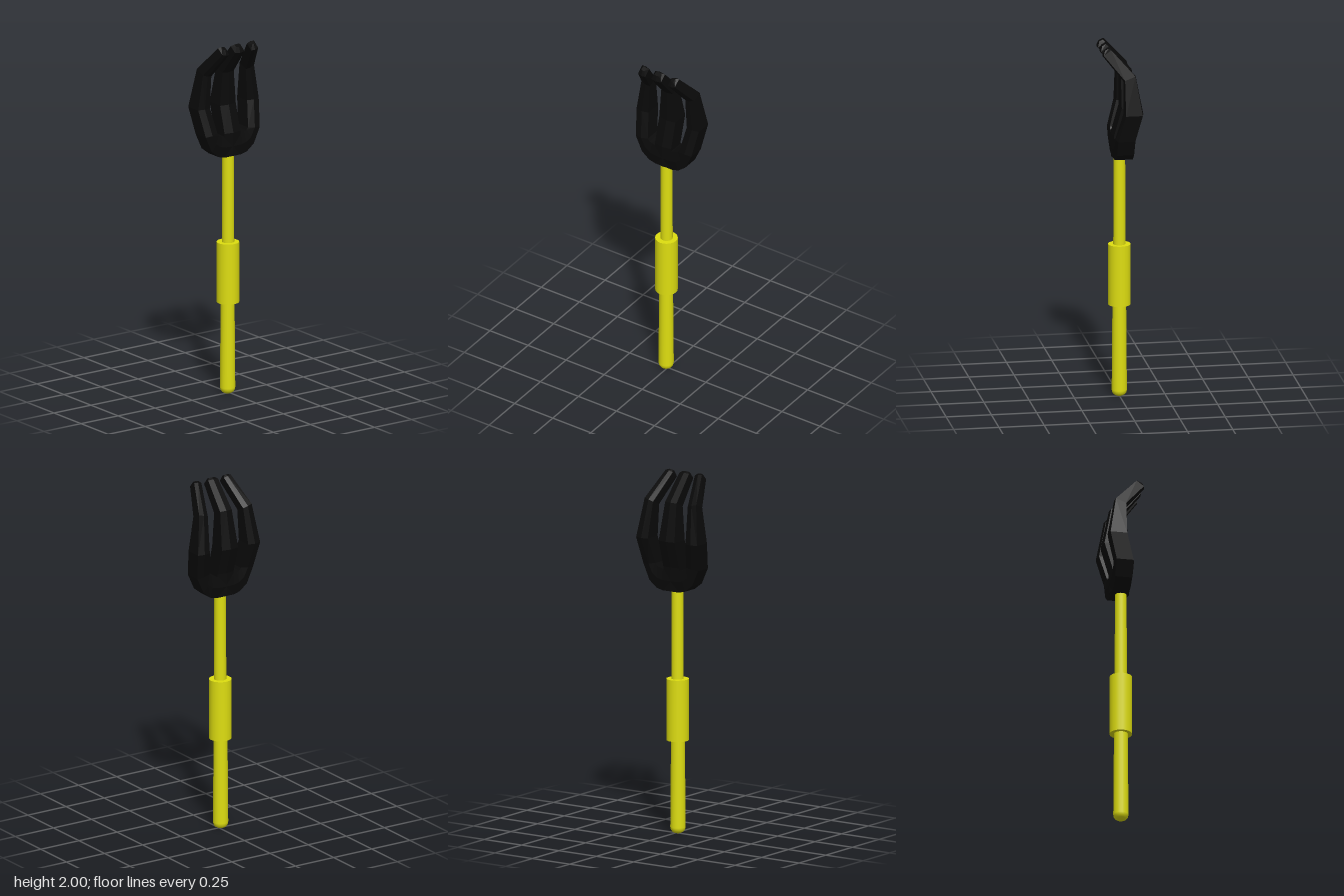
import * as THREE from 'three';

// Sections: [outerX, outerY, innerX, innerY, centreZ, halfDepth, tilt]
const sideTine = [
  [0.000, 1.355, 0.000, 1.472, -0.010, 0.056, 0],
  [0.055, 1.355, 0.055, 1.475, -0.010, 0.056, 0],
  [0.095, 1.365, 0.075, 1.480, -0.010, 0.056, 0],
  [0.142, 1.402, 0.092, 1.487, -0.010, 0.056, 0],
  [0.182, 1.490, 0.103, 1.500, -0.010, 0.056, 0],
  [0.204, 1.640, 0.126, 1.640, -0.049, 0.055, 0],
  [0.172, 1.845, 0.116, 1.830, -0.031, 0.034, 0.4],
  [0.121, 1.982, 0.074, 1.974, 0.086, 0.024, 0.75],
  [0.106, 1.997, 0.086, 1.995, 0.088, 0.012, 0.5],
];
const middleTine = [
  [0.053, 1.360, -0.053, 1.360, -0.010, 0.056, 0],
  [0.053, 1.490, -0.053, 1.490, -0.009, 0.056, 0],
  [0.053, 1.640, -0.053, 1.640, -0.052, 0.057, 0],
  [0.038, 1.838, -0.038, 1.838, -0.031, 0.035, 0.4],
  [0.032, 1.978, -0.032, 1.978, 0.086, 0.024, 0.75],
  [0.017, 1.997, -0.017, 1.997, 0.088, 0.012, 0.5],
];

// Skin six-sided sections into a tine; sign -1 mirrors it
function tineGeometry(sections, sign = 1) {
  const pos = [], index = [];
  for (const [ox, oy, ix, iy, z, d, tilt] of sections) {
    const ring = [[0, 0.84], [0.5, 1], [1, 0.84], [1, -0.84], [0.5, -1], [0, -0.84]];
    for (const [t, k] of ring) {
      pos.push(sign * (ox + (ix - ox) * t), oy + (iy - oy) * t - k * d * tilt, z + k * d);
    }
  }
  const tri = (a, b, c) => (sign > 0 ? index.push(a, b, c) : index.push(a, c, b));
  for (let i = 0; i < sections.length - 1; i++) {
    for (let j = 0; j < 6; j++) {
      const a = i * 6 + j, b = i * 6 + (j + 1) % 6;
      tri(a, a + 6, b);
      tri(b, a + 6, b + 6);
    }
  }
  const end = (sections.length - 1) * 6;
  for (let j = 1; j < 5; j++) {
    tri(end, end + j + 1, end + j);
    tri(0, j, j + 1);
  }
  const g = new THREE.BufferGeometry();
  g.setAttribute('position', new THREE.Float32BufferAttribute(pos, 3));
  g.setIndex(index);
  g.computeVertexNormals();
  return g;
}

export function createModel() {
  const model = new THREE.Group();
  model.name = 'gardenFork';
  const yellow = new THREE.MeshStandardMaterial({ color: 0xdede10 });
  yellow.name = 'yellow';
  const black = new THREE.MeshStandardMaterial({ color: 0x0a0a0a, flatShading: true });
  black.name = 'black';

  const add = (name, geometry, material, x, y = 0) => {
    const mesh = new THREE.Mesh(geometry, material);
    mesh.name = name;
    mesh.position.set(x, y, 0);
    model.add(mesh);
  };

  // Lower handle with a rounded foot
  const foot = [[0, 0], [0.018, 0.002], [0.031, 0.009], [0.039, 0.02], [0.042, 0.035], [0.038, 0.53]];
  add('lowerHandle', new THREE.LatheGeometry(foot.map(p => new THREE.Vector2(...p)), 20), yellow, -0.011);

  // Grip sleeve and upper shaft
  add('gripSleeve', new THREE.CylinderGeometry(0.062, 0.062, 0.342, 20), yellow, -0.009, 0.69);
  add('upperShaft', new THREE.CylinderGeometry(0.032, 0.034, 0.58, 20), yellow, -0.008, 1.12);

  // Three-pronged head
  add('leftTine', tineGeometry(sideTine), black, -0.003);
  add('rightTine', tineGeometry(sideTine, -1), black, -0.003);
  add('middleTine', tineGeometry(middleTine), black, -0.006);
  return model;
}
